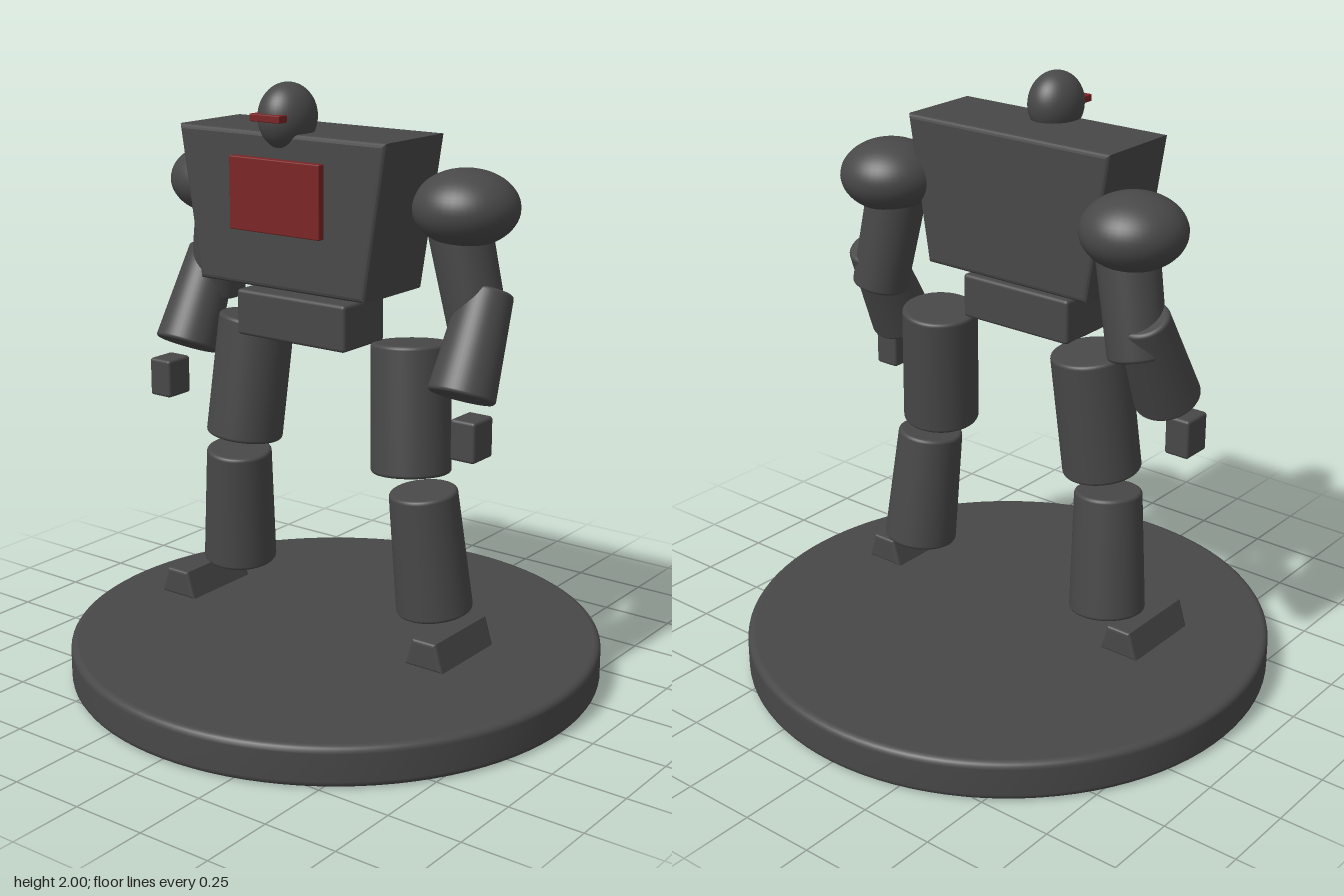
import * as THREE from 'three';
import { RoundedBoxGeometry } from 'three/addons/geometries/RoundedBoxGeometry.js';

const armor = new THREE.MeshStandardMaterial({ color: 0x484848 });
armor.name = 'dark grey armor';
const red = new THREE.MeshStandardMaterial({ color: 0x7a2424 });
red.name = 'dark red panel';

function part(parent, name, geometry, material = armor) {
  const mesh = new THREE.Mesh(geometry, material);
  mesh.name = name;
  parent.add(mesh);
  return mesh;
}

// Cylinder with rounded rims, standing from y = 0 to y = height
function drum(rBottom, rTop, height, bevel, segments = 48) {
  const p = [[0, 0], [rBottom - bevel - 0.002, 0]];
  for (let i = 0; i <= 4; i++) {
    const a = (i / 4) * Math.PI / 2;
    p.push([rBottom - bevel + bevel * Math.sin(a), bevel - bevel * Math.cos(a)]);
  }
  for (let i = 0; i <= 4; i++) {
    const a = (i / 4) * Math.PI / 2;
    p.push([rTop - bevel + bevel * Math.cos(a), height - bevel + bevel * Math.sin(a)]);
  }
  p.push([rTop - bevel - 0.002, height], [0, height]);
  return new THREE.LatheGeometry(p.map(([x, y]) => new THREE.Vector2(x, y)), segments);
}

// Limb segment running from its lower end to its upper end
function limb(parent, name, low, high, rLow, rHigh) {
  const a = new THREE.Vector3(...low);
  const dir = new THREE.Vector3(...high).sub(a);
  const mesh = part(parent, name, drum(rLow, rHigh, dir.length(), 0.012));
  mesh.position.copy(a);
  mesh.quaternion.setFromUnitVectors(new THREE.Vector3(0, 1, 0), dir.normalize());
  return mesh;
}

function block(parent, name, size, position, bevel, material) {
  const mesh = part(parent, name, new RoundedBoxGeometry(...size, 3, bevel), material);
  mesh.position.set(...position);
  return mesh;
}

// Block with a trapezoid front and softened edges
function trapezoid(halfBottom, halfTop, y0, y1, z0, z1, bevel) {
  const b = bevel;
  const shape = new THREE.Shape([
    new THREE.Vector2(-halfBottom + b, y0 + b),
    new THREE.Vector2(halfBottom - b, y0 + b),
    new THREE.Vector2(halfTop - b, y1 - b),
    new THREE.Vector2(-halfTop + b, y1 - b),
  ]);
  const geometry = new THREE.ExtrudeGeometry(shape, {
    depth: z1 - z0 - 2 * b, bevelEnabled: true, bevelSize: b, bevelThickness: b, bevelSegments: 3,
  });
  return geometry.translate(0, 0, z0 + b);
}

function ellipsoid(rx, ry, rz) {
  return new THREE.SphereGeometry(1, 40, 28).scale(rx, ry, rz);
}

export function createModel() {
  const model = new THREE.Group();
  model.name = 'robotStatue';

  // Display base
  part(model, 'base', drum(0.895, 0.895, 0.135, 0.022, 96));

  // Body
  part(model, 'torso', trapezoid(0.325, 0.4, 1.36, 1.85, -0.02, 0.295, 0.015));
  block(model, 'chestPanel', [0.35, 0.23, 0.05], [0, 1.655, 0.295], 0.004, red);
  block(model, 'pelvis', [0.43, 0.15, 0.215], [0, 1.255, 0.138], 0.012);

  // Head
  part(model, 'head', ellipsoid(0.086, 0.105, 0.102)).position.set(0, 1.895, 0.245);
  block(model, 'visor', [0.115, 0.023, 0.04], [0, 1.899, 0.34], 0.003, red);

  for (const s of [1, -1]) {
    const side = s > 0 ? 'left' : 'right';

    // Arm
    const arm = new THREE.Group();
    arm.name = side + 'Arm';
    model.add(arm);
    part(arm, 'shoulder', ellipsoid(0.167, 0.12, 0.168)).position.set(s * 0.489, 1.63, -0.008);
    limb(arm, 'upperArm', [s * 0.532, 1.238, -0.03], [s * 0.46, 1.6, -0.005], 0.094, 0.1);
    limb(arm, 'forearm', [s * 0.557, 1.066, 0.107], [s * 0.553, 1.376, -0.04], 0.107, 0.084);
    block(arm, 'hand', [0.088, 0.13, 0.108], [s * 0.613, 0.955, 0.131], 0.01);

    // Leg
    const leg = new THREE.Group();
    leg.name = side + 'Leg';
    model.add(leg);
    limb(leg, 'thigh', [s * 0.344, 0.775, 0.06], [s * 0.312, 1.189, 0.024], 0.129, 0.127);
    limb(leg, 'shin', [s * 0.41, 0.307, 0.012], [s * 0.381, 0.717, 0.045], 0.125, 0.111);
    part(leg, 'foot', trapezoid(0.07, 0.046, 0.2, 0.293, -0.07, 0.23, 0.01)).position.x = s * 0.513;
  }
  return model;
}
